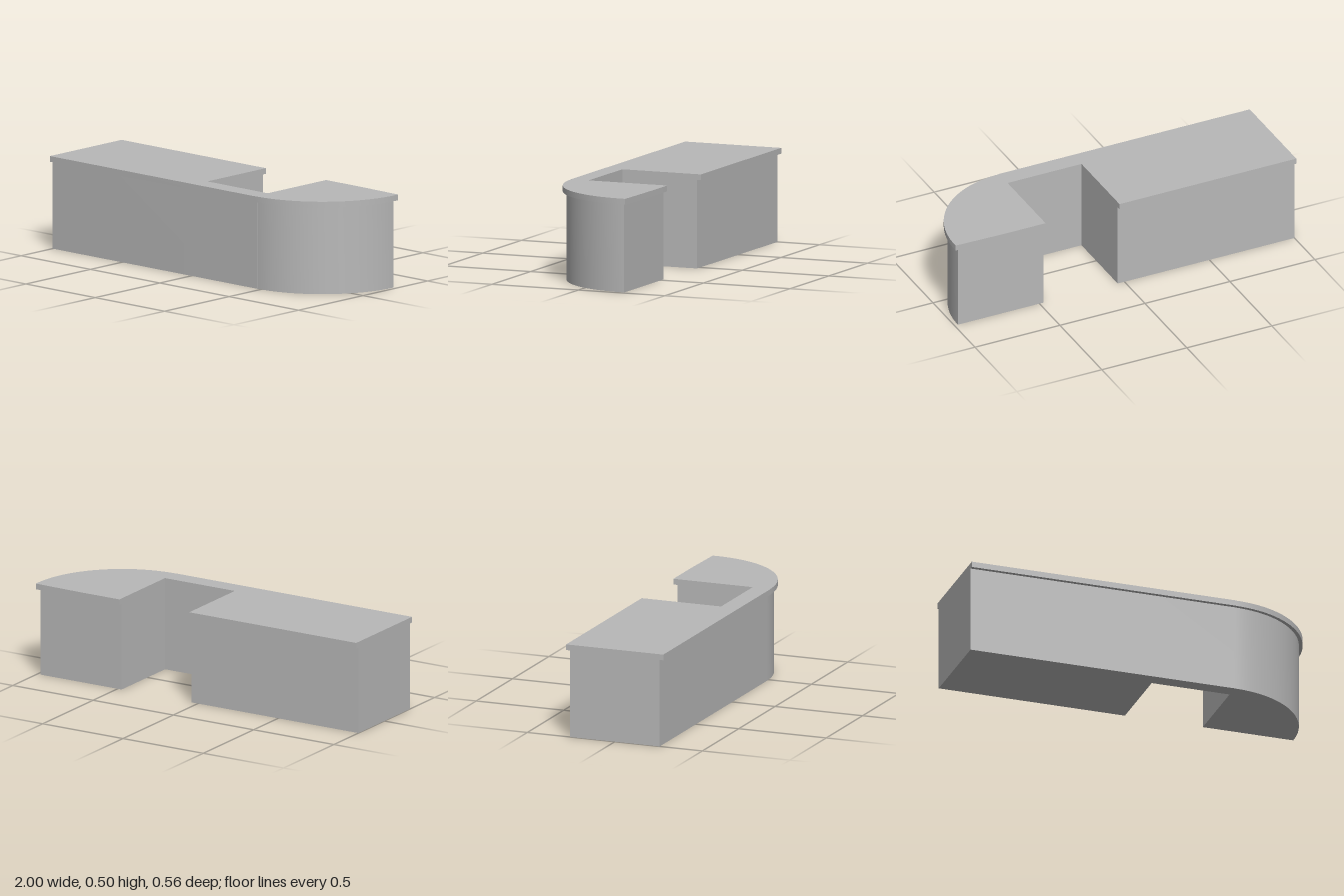
import * as THREE from 'three';
import { toCreasedNormals } from 'three/addons/utils/BufferGeometryUtils.js';

// Notched plan with one rounded corner; plan y is -z.
function planShape(front, back, radius, endBack) {
  const cx = 0.475, cy = 0.25;
  const s = new THREE.Shape();
  s.moveTo(-1, -front);
  s.lineTo(cx, -front);
  s.absarc(cx, cy, radius, -Math.PI / 2, 0, false); // rounded end
  s.lineTo(cx + radius, endBack);
  s.lineTo(0.72, back);
  s.lineTo(0.475, back);
  s.lineTo(0.475, -0.175); // service opening
  s.lineTo(0.04, -0.175);
  s.lineTo(0.04, back);
  s.lineTo(-1, back);
  s.closePath();
  return s;
}

function slab(name, shape, y, height, material) {
  const extruded = new THREE.ExtrudeGeometry(shape, { depth: height, bevelEnabled: false, curveSegments: 16 });
  extruded.rotateX(-Math.PI / 2);
  extruded.translate(0, y, 0);
  const mesh = new THREE.Mesh(toCreasedNormals(extruded, 0.4), material);
  mesh.name = name;
  return mesh;
}

export function createModel() {
  const group = new THREE.Group();
  group.name = 'receptionCounter';
  const grey = new THREE.MeshStandardMaterial({ color: 0xb8b8b8 });
  grey.name = 'light grey';

  // Counter body
  group.add(slab('counterBody', planShape(0.256, 0.256, 0.505, 0.256), 0, 0.472, grey));
  // Overhanging worktop
  group.add(slab('counterTop', planShape(0.277, 0.278, 0.525, 0.271), 0.472, 0.031, grey));
  return group;
}
